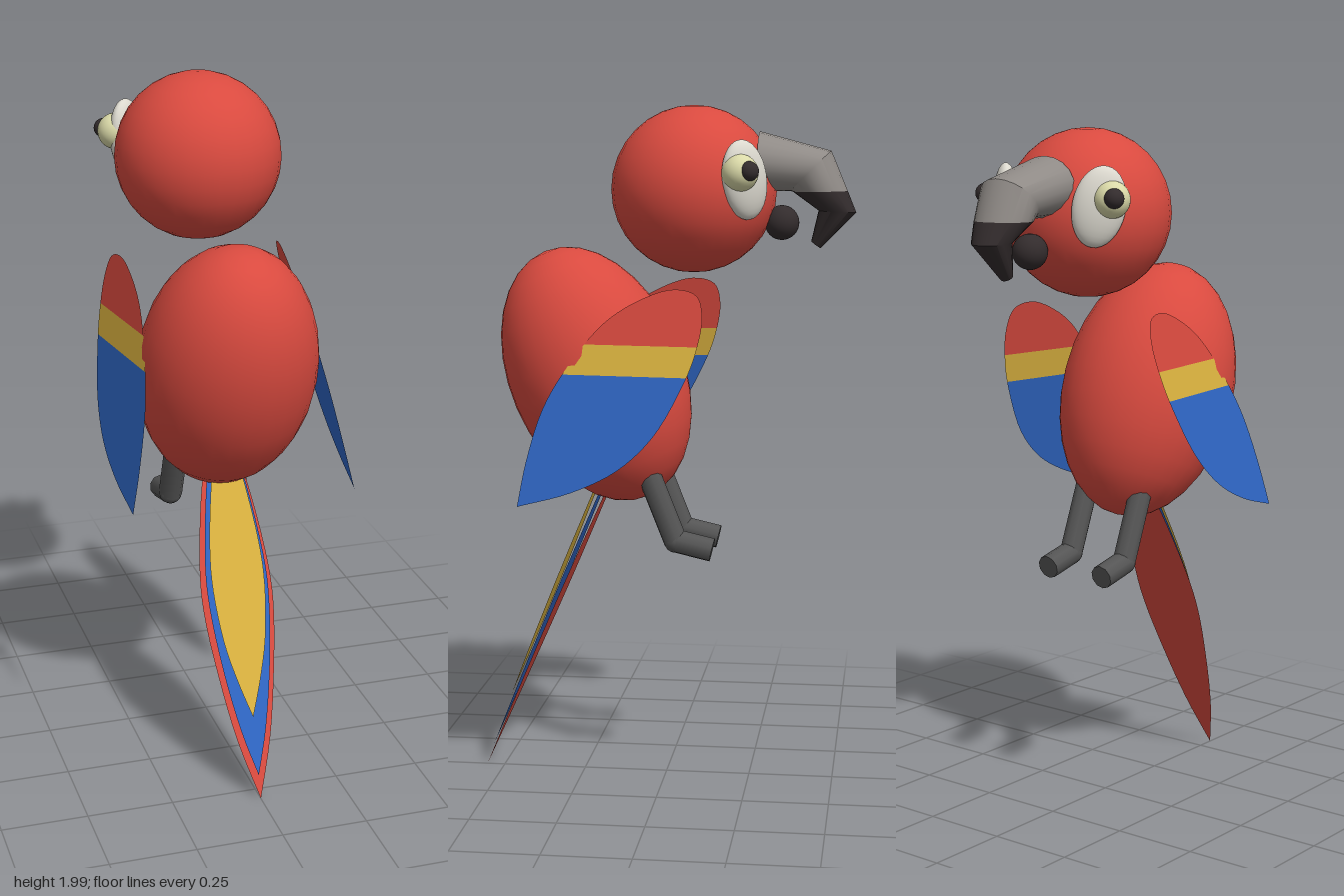
import * as THREE from 'three';
import { toCreasedNormals } from 'three/addons/utils/BufferGeometryUtils.js';

const mat = (name, color, side = THREE.FrontSide) =>
  Object.assign(new THREE.MeshStandardMaterial({ color, side }), { name });

// Closed loft: each ring is [topZ, topY, bottomZ, bottomY, halfWidth]
function loft(rings, sides = 20) {
  const pos = [], idx = [];
  rings.forEach(([tz, ty, bz, by, w], i) => {
    for (let j = 0; j < sides; j++) {
      const a = (j / sides) * Math.PI * 2, c = Math.cos(a);
      pos.push(w * Math.sin(a), (ty + by) / 2 + c * (ty - by) / 2, (tz + bz) / 2 + c * (tz - bz) / 2);
      if (i === rings.length - 1) continue;
      const k = (j + 1) % sides, p = i * sides, q = p + sides;
      idx.push(p + j, p + k, q + j, p + k, q + k, q + j);
    }
  });
  const g = new THREE.BufferGeometry();
  g.setAttribute('position', new THREE.Float32BufferAttribute(pos, 3));
  g.setIndex(idx);
  return toCreasedNormals(g, 0.6);
}

// Keep the part of a polygon where sign * (y - level) >= 0
function clip(pts, level, sign) {
  const out = [];
  pts.forEach((p, i) => {
    const q = pts[(i + 1) % pts.length];
    const a = sign * (p.y - level), b = sign * (q.y - level);
    if (a >= 0) out.push(p);
    if (a * b < 0) out.push(p.clone().lerp(q, a / (a - b)));
  });
  return out;
}

export function createModel() {
  const model = new THREE.Group();
  model.name = 'parrot';
  const D = THREE.DoubleSide;
  const red = mat('red', 0xd94a3f), redFeather = mat('redFeather', 0xd94a3f, D);
  const yellow = mat('yellow', 0xdcb440, D), blue = mat('blue', 0x2f66c4, D);
  const white = mat('facePatchWhite', 0xdcd9cf), cream = mat('eyeCream', 0xdad9a8);
  const grey = mat('beakGrey', 0x8f8a86), black = mat('black', 0x332c2d);
  const legGrey = mat('legGrey', 0x555555);

  const add = (name, geo, material, x = 0, y = 0, z = 0) => {
    const m = new THREE.Mesh(geo, material);
    m.name = name;
    m.position.set(x, y, z);
    model.add(m);
    return m;
  };
  const ball = (name, r, material, x, y, z) =>
    add(name, new THREE.SphereGeometry(r, 32, 16), material, x, y, z);

  // Head and leaning body
  ball('head', 0.24, red, 0, 1.76, -0.08);
  const body = ball('body', 1, red, 0, 1.217, 0.208);
  body.scale.set(0.257, 0.392, 0.257);
  body.rotation.x = 0.4;

  // Hooked beak
  const split = [-0.523, 1.756, -0.365, 1.754, 0.083];
  add('upperBeak', loft([
    [-0.27, 1.925, -0.27, 1.755, 0.108], [-0.475, 1.87, -0.36, 1.755, 0.092], split,
  ]), grey);
  add('beakTip', loft([
    split, [-0.548, 1.695, -0.44, 1.7, 0.058],
    [-0.447, 1.592, -0.42, 1.612, 0.02], [-0.434, 1.602, -0.433, 1.603, 0.001],
  ]), black);
  ball('lowerBeak', 0.05, black, 0, 1.665, -0.335);

  // Wing outline as [z, y], smoothed from the lower tip round the shoulder
  const outline = new THREE.CatmullRomCurve3([
    [0.387, 0.875], [0.365, 1.0], [0.32, 1.15], [0.25, 1.27], [0.15, 1.39], [0.05, 1.455],
    [-0.05, 1.487], [-0.115, 1.47], [-0.132, 1.41], [-0.115, 1.31], [-0.08, 1.22],
    [0, 1.08], [0.1, 0.985], [0.23, 0.92], [0.387, 0.875],
  ].map(([z, y]) => new THREE.Vector3(z, y, 0))).getPoints(70).slice(0, -1)
    .map(p => new THREE.Vector2(p.x, p.y));
  const bands = [
    ['wingRed', clip(outline, 1.33, 1), redFeather],
    ['wingYellow', clip(clip(outline, 1.33, -1), 1.245, 1), yellow],
    ['wingBlue', clip(outline, 1.245, -1), blue],
  ];

  // Straight limb segment between two points
  const limb = (name, a, b, r) => {
    const dir = b.clone().sub(a);
    const m = add(name, new THREE.CylinderGeometry(r, r, dir.length(), 10), legGrey);
    m.position.copy(a).add(b).multiplyScalar(0.5);
    m.quaternion.setFromUnitVectors(new THREE.Vector3(0, 1, 0), dir.normalize());
  };

  for (const s of [1, -1]) {
    const side = s > 0 ? 'left' : 'right';

    // Wing: a flat feather sheet, tilted outward toward the bottom
    for (const [name, pts, material] of bands) {
      const g = new THREE.ShapeGeometry(new THREE.Shape(pts));
      const p = g.attributes.position;
      for (let i = 0; i < p.count; i++) {
        const z = p.getX(i), y = p.getY(i);
        p.setXYZ(i, s * (0.285 - 0.234 * (y - 1.18) - 0.13 * (z - 0.15)), y, z);
      }
      if (s > 0) g.index.array.reverse();
      g.computeVertexNormals();
      add(side + name[0].toUpperCase() + name.slice(1), g, material);
    }

    // Face patch, eye and pupil
    const patch = ball(side + 'FacePatch', 1, white, s * 0.168, 1.79, -0.24);
    patch.scale.set(0.075, 0.113, 0.037);
    patch.rotation.set(0, Math.atan2(s * 0.72, -0.69), s * 0.2);
    ball(side + 'Eye', 0.052, cream, s * 0.204, 1.81, -0.23);
    ball(side + 'Pupil', 0.028, black, s * 0.233, 1.815, -0.257);

    // Leg and foot
    const hip = new THREE.Vector3(s * 0.1, 0.95, 0.045);
    const ankle = new THREE.Vector3(s * 0.1, 0.742, -0.038);
    limb(side + 'Leg', hip, ankle, 0.035);
    limb(side + 'Foot', ankle, new THREE.Vector3(s * 0.1, 0.717, -0.146), 0.035);
    add(side + 'Ankle', new THREE.SphereGeometry(0.035, 12, 8), legGrey, s * 0.1, 0.742, -0.038);
  }

  // Layered tail: leaf half-widths as [halfWidth, y]; z follows a sloping plane
  const leaf = (name, material, z0, slope, widths) => {
    const edge = new THREE.SplineCurve(widths.map(([w, y]) => new THREE.Vector2(w, y))).getPoints(24);
    const mirrored = edge.slice(0, -1).reverse().map(p => new THREE.Vector2(-p.x, p.y));
    const g = new THREE.ShapeGeometry(new THREE.Shape([...edge, ...mirrored]));
    const p = g.attributes.position;
    for (let i = 0; i < p.count; i++) p.setZ(i, z0 + slope * (0.84 - p.getY(i)));
    g.computeVertexNormals();
    add(name, g, material);
  };
  leaf('tailRed', redFeather, 0.19, 0.438,
    [[0.03, 0.96], [0.068, 0.85], [0.1, 0.66], [0.106, 0.52], [0.085, 0.35], [0.05, 0.17], [0, 0.01]]);
  leaf('tailBlue', blue, 0.208, 0.423,
    [[0.03, 0.96], [0.06, 0.85], [0.088, 0.66], [0.09, 0.53], [0.07, 0.36], [0.038, 0.2], [0, 0.075]]);
  leaf('tailYellow', yellow, 0.227, 0.41,
    [[0.03, 0.95], [0.052, 0.85], [0.074, 0.7], [0.078, 0.58], [0.062, 0.44], [0.033, 0.33], [0, 0.235]]);

  return model;
}
